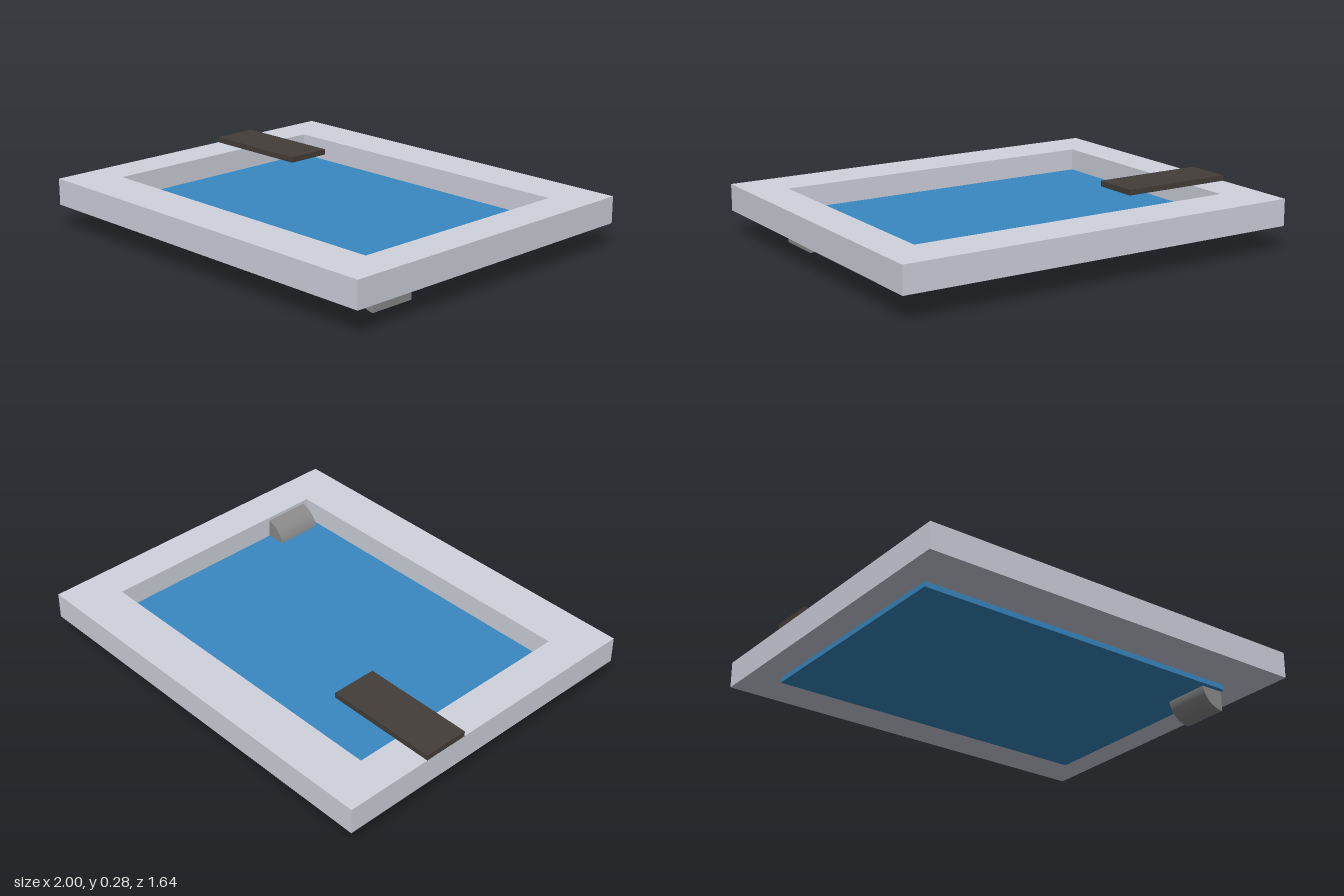
import * as THREE from 'three';

const material = (color) => new THREE.MeshStandardMaterial({ color });

// Box given by its lower and upper corners
function block(name, min, max, mat) {
  const size = max.map((v, i) => v - min[i]);
  const mesh = new THREE.Mesh(new THREE.BoxGeometry(...size), mat);
  mesh.position.set(...max.map((v, i) => (v + min[i]) / 2));
  mesh.name = name;
  return mesh;
}

// Closed rectangle centred on the origin
function rectangle(Type, hx, hy) {
  return new Type([[-hx, -hy], [hx, -hy], [hx, hy], [-hx, hy]].map(([x, y]) => new THREE.Vector2(x, y)));
}

export function createModel() {
  const model = new THREE.Group();
  model.name = 'pool';

  // Rectangular surround with an open middle
  const outline = rectangle(THREE.Shape, 1, 0.822);
  outline.holes.push(rectangle(THREE.Path, 0.813, 0.59));
  const surroundGeometry = new THREE.ExtrudeGeometry(outline, { depth: 0.128, bevelEnabled: false });
  surroundGeometry.rotateX(-Math.PI / 2);
  const surround = new THREE.Mesh(surroundGeometry, material(0xd0d2dd));
  surround.position.y = 0.122;
  surround.name = 'surround';
  model.add(surround);

  // Water slab, showing slightly below the surround
  model.add(block('water', [-0.863, 0.098, -0.588], [0.83, 0.144, 0.588], material(0x3889c2)));

  // Diving board resting on the left-hand rim
  model.add(block('divingBoard', [-1, 0.25, -0.389], [-0.443, 0.277, -0.165], material(0x443e39)));

  // Half-round step with its flat side against the wall
  const radius = 0.118;
  const half = new THREE.Shape();
  half.absarc(0, 0, radius, Math.PI / 2, Math.PI * 1.5, false);
  half.closePath();
  const stepGeometry = new THREE.ExtrudeGeometry(half, { depth: 0.23, bevelEnabled: false, curveSegments: 32 });
  const step = new THREE.Mesh(stepGeometry, material(0x8a8a8a));
  step.position.set(0.833, radius, 0.335);
  step.name = 'step';
  model.add(step);

  return model;
}
